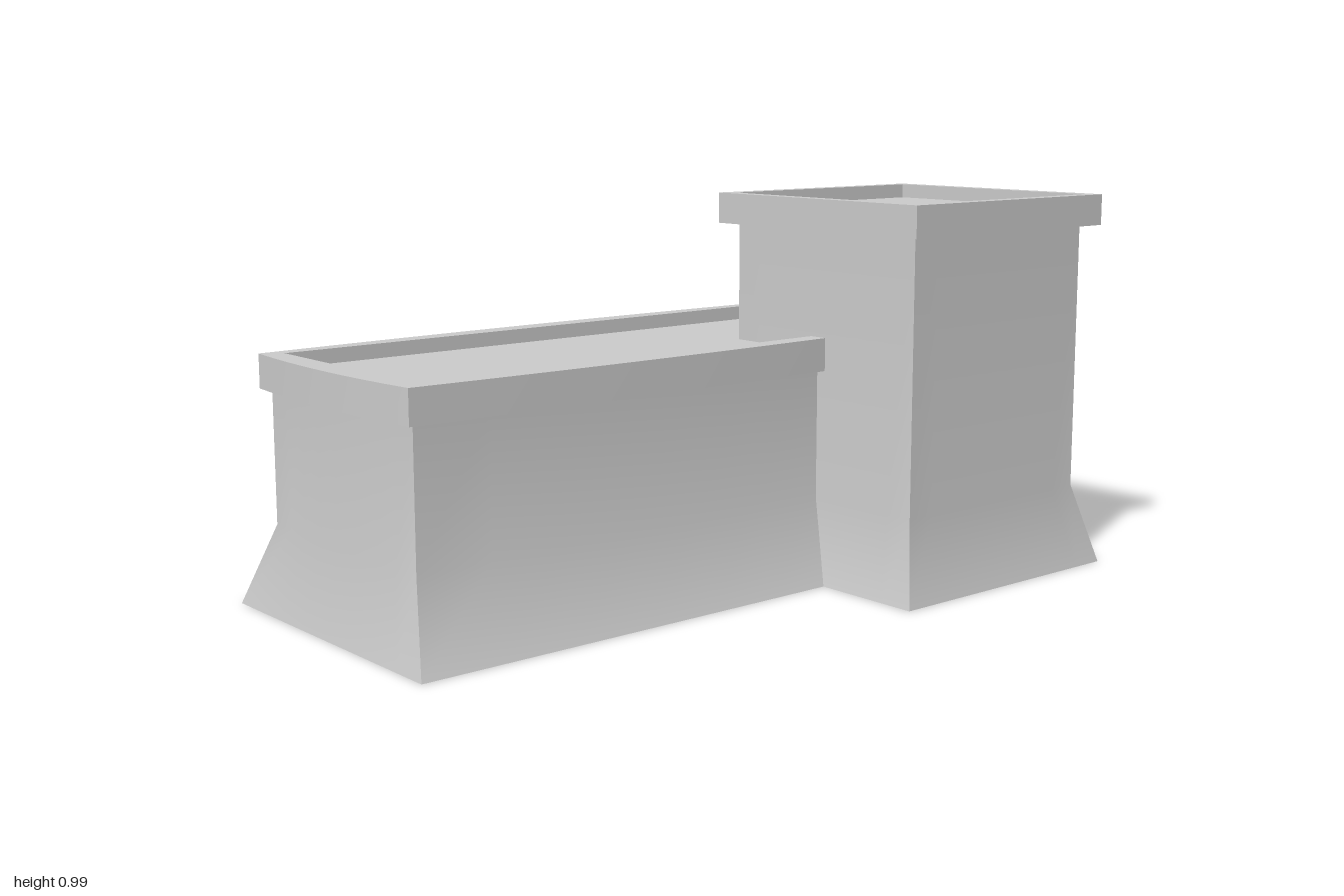
import * as THREE from 'three';
import { mergeGeometries } from 'three/addons/utils/BufferGeometryUtils.js';

const material = new THREE.MeshStandardMaterial({ color: 0xcccccc });
const STEPS = 8;

// Point on a rectangular section [y, halfX, halfZ, bow]; sides bulge outward by bow.
function sectionPoint([y, hx, hz, bow = 0], side, t) {
  const corners = [[-hx, hz], [hx, hz], [hx, -hz], [-hx, -hz]];
  const out = [[0, 1], [1, 0], [0, -1], [-1, 0]][side];
  const a = corners[side], b = corners[(side + 1) % 4];
  const bulge = bow * 4 * t * (1 - t);
  return [
    a[0] + (b[0] - a[0]) * t + out[0] * bulge,
    y,
    a[1] + (b[1] - a[1]) * t + out[1] * bulge,
  ];
}

// Skin through the sections: smooth up each side, sharp at the four corners.
function skin(sections) {
  const sides = [0, 1, 2, 3].map((side) => {
    const pos = [], index = [], row = STEPS + 1;
    sections.forEach((s, j) => {
      for (let i = 0; i <= STEPS; i++) pos.push(...sectionPoint(s, side, i / STEPS));
      if (j === 0) return;
      for (let i = 0; i < STEPS; i++) {
        const a = (j - 1) * row + i, d = a + row;
        index.push(a, a + 1, d + 1, a, d + 1, d);
      }
    });
    const g = new THREE.BufferGeometry();
    g.setAttribute('position', new THREE.Float32BufferAttribute(pos, 3));
    g.setIndex(index);
    g.computeVertexNormals();
    return g;
  });
  return mergeGeometries(sides);
}

// Skin with a sharp edge at every section.
const sharpSkin = (sections) =>
  mergeGeometries(sections.slice(1).map((s, i) => skin([sections[i], s])));

function part(name, geometry) {
  const mesh = new THREE.Mesh(geometry, material);
  mesh.name = name;
  return mesh;
}

// Block with flared foot, overhanging parapet and sunken roof; sizes are half extents.
function block(name, { base, wall, rim, recess, rimY, topY, wallBow = 0, rimBow = 0 }) {
  const group = new THREE.Group();
  group.name = name;
  const flareY = 0.21, floorY = topY - 0.037;
  const wallTop = [rimY, ...wall, wallBow];
  group.add(
    part('flaredWalls', skin([[0, ...base], [flareY, ...wall, wallBow], wallTop])),
    part('underside', skin([[0, 0, 0], [0, ...base]])),
    part('parapet', sharpSkin([
      wallTop,
      [rimY, ...rim, rimBow],
      [topY, ...rim, rimBow],
      [topY, ...recess],
      [floorY, ...recess],
    ])),
    part('roofFloor', skin([[floorY, ...recess], [floorY, 0, 0]])),
  );
  return group;
}

export function createModel() {
  const model = new THREE.Group();
  model.name = 'adobeBuilding';

  // Long low wing with slightly bowed sides
  const wing = block('lowWing', {
    base: [0.836, 0.412], wall: [0.782, 0.315], rim: [0.804, 0.336], recess: [0.754, 0.3],
    rimY: 0.545, topY: 0.63, wallBow: 0.012, rimBow: 0.02,
  });
  wing.position.set(-0.131, 0, -0.152);

  // Square tower at the front corner
  const tower = block('tower', {
    base: [0.371, 0.371], wall: [0.315, 0.315], rim: [0.354, 0.354], recess: [0.32, 0.32],
    rimY: 0.905, topY: 0.985,
  });
  tower.position.set(0.609, 0, 0.186);

  // Both blocks stand turned on the plot
  const plot = new THREE.Group();
  plot.name = 'building';
  plot.rotation.y = -0.193;
  plot.add(wing, tower);
  model.add(plot);
  return model;
}
